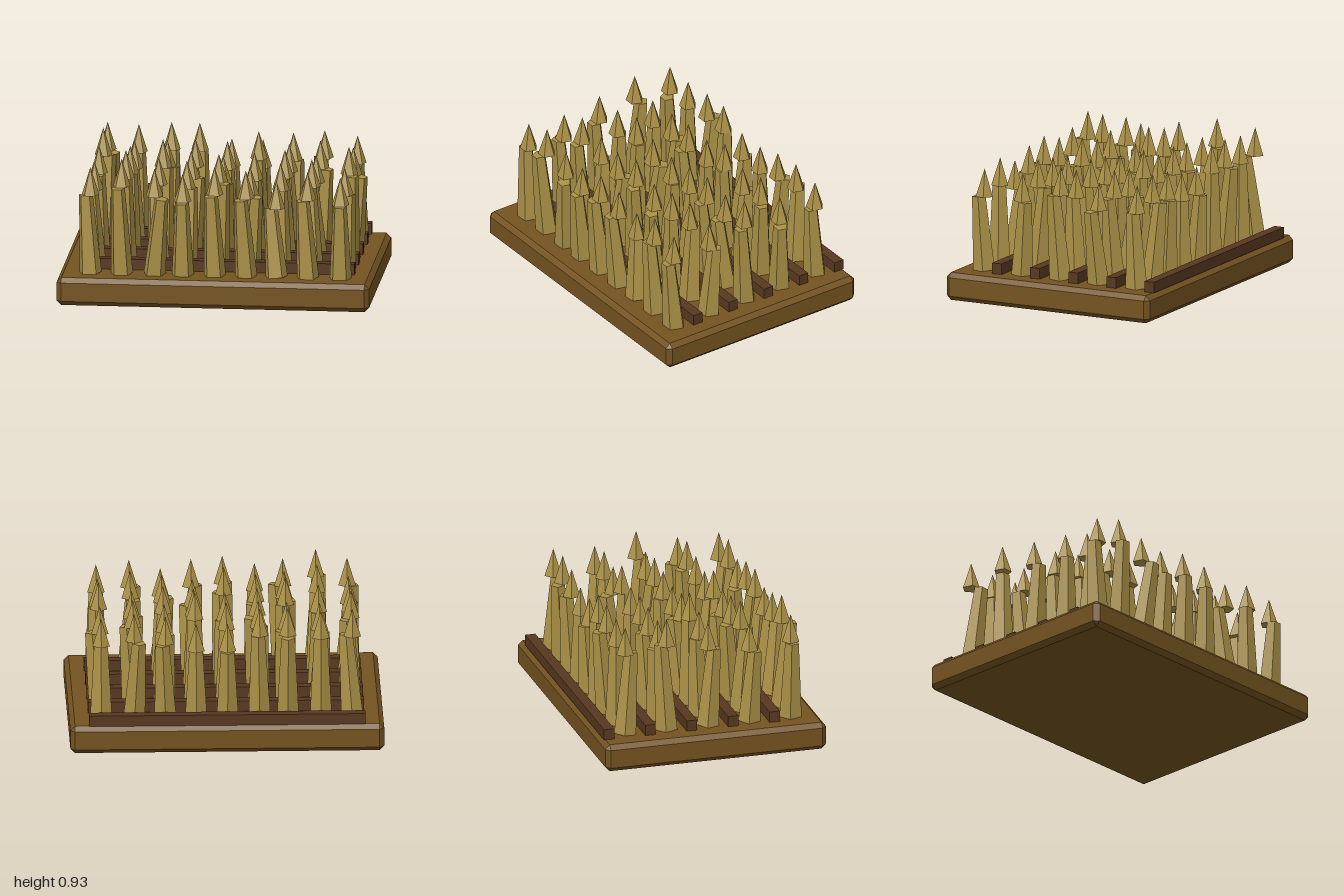
import * as THREE from 'three';
import { ConvexGeometry } from 'three/addons/geometries/ConvexGeometry.js';

const flat = (name, color) => {
  const m = new THREE.MeshStandardMaterial({ color, flatShading: true });
  m.name = name;
  return m;
};

// Box with every edge cut at 45 degrees
function chamferedBox(w, h, d, c) {
  const points = [];
  for (const sx of [-1, 1]) for (const sy of [-1, 1]) for (const sz of [-1, 1]) {
    const x = w / 2, y = h / 2, z = d / 2;
    points.push(
      new THREE.Vector3(sx * x, sy * (y - c), sz * (z - c)),
      new THREE.Vector3(sx * (x - c), sy * y, sz * (z - c)),
      new THREE.Vector3(sx * (x - c), sy * (y - c), sz * z));
  }
  return new ConvexGeometry(points);
}

const BASE_TOP = 0.18, TIP_HEIGHT = 0.18;
const COLUMNS = [-0.80, -0.60, -0.39, -0.21, -0.005, 0.195, 0.39, 0.59, 0.80];

// Per stake, in hundredths: lean of the shaft top in x and z, height of the tip
const ROWS = [
  { z: 0.55, stakes: [[-3, 0, 87], [-2, 5, 93], [5, 5, 87], [0, 4, 84], [-2, 4, 89], [-3, 4, 87], [-4, -3, 81], [-3, 2, 87], [0, 4, 84]] },
  { z: 0.275, stakes: [[-2, 3, 84], [0, 4, 92], [-3, -4, 88], [2, -4, 86], [3, 4, 91], [4, 5, 83], [0, 0, 86], [-2, -4, 89], [2, -3, 84]] },
  { z: 0, stakes: [[0, 4, 88], [0, -2, 88], [2, 0, 93], [4, -4, 86], [2, 0, 83], [0, -2, 86], [-1, 4, 88], [-3, 4, 85], [2, 4, 91]] },
  { z: -0.275, stakes: [[3, -3, 93], [-2, -3, 85], [3, -3, 86], [-2, 4, 87], [0, 0, 86], [0, 2, 93], [-2, -5, 85], [4, 2, 88], [5, 3, 84]] },
  { z: -0.55, stakes: [[4, 5, 90], [0, 0, 89], [0, -5, 91], [1, -1, 91], [0, -3, 81], [0, 0, 81], [2, -3, 86], [-3, -4, 88], [0, 3, 85]] },
];

export function createModel() {
  const model = new THREE.Group();
  model.name = 'spikeTrap';
  const baseWood = flat('base wood', 0x745320);
  const slatWood = flat('dark slat wood', 0x583820);
  const stakeWood = flat('pale stake wood', 0xab9147);

  const add = (parent, name, geometry, material, x, y, z) => {
    const mesh = new THREE.Mesh(geometry, material);
    mesh.name = name;
    mesh.position.set(x, y, z);
    parent.add(mesh);
    return mesh;
  };

  // Base board
  add(model, 'base', chamferedBox(2, BASE_TOP, 1.466, 0.03), baseWood, 0, BASE_TOP / 2, 0);

  // Cross slats behind each row
  const slat = new THREE.BoxGeometry(1.76, 0.07, 0.068);
  for (const { z } of ROWS) add(model, 'slat', slat, slatWood, 0, BASE_TOP + 0.035, z - 0.13);

  // Five-sided stakes: shafts lean from their foot, tips stay upright
  const tip = new THREE.ConeGeometry(0.058, TIP_HEIGHT, 5).rotateY(Math.PI);
  const up = new THREE.Vector3(0, 1, 0);
  for (const { z, stakes } of ROWS) {
    stakes.forEach(([leanX, leanZ, top], i) => {
      const stake = new THREE.Group();
      stake.name = 'stake';
      stake.position.set(COLUMNS[i], BASE_TOP, z);
      const h = top / 100 - TIP_HEIGHT - BASE_TOP;
      const shaftShape = new THREE.CylinderGeometry(0.046, 0.074, h, 5).rotateY(Math.PI).translate(0, h / 2, 0);
      const shaft = add(stake, 'shaft', shaftShape, stakeWood, 0, 0, 0);
      const axis = new THREE.Vector3(leanX / 100, h, leanZ / 100).normalize();
      shaft.quaternion.setFromUnitVectors(up, axis);
      add(stake, 'tip', tip, stakeWood, 0, h + TIP_HEIGHT / 2, 0);
      model.add(stake);
    });
  }
  return model;
}
